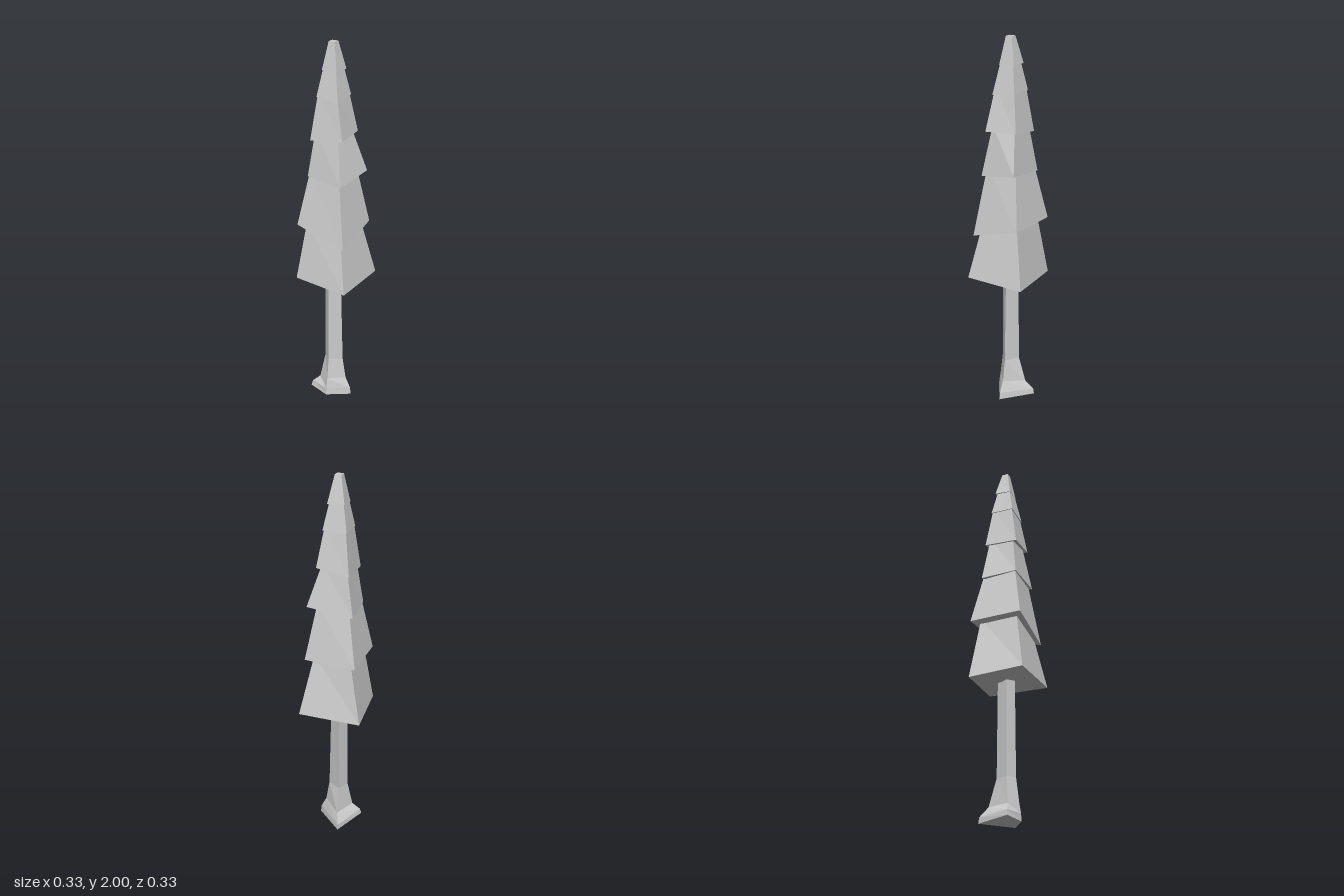
import * as THREE from 'three';

const material = new THREE.MeshStandardMaterial({ color: 0xcccccc, flatShading: true, side: THREE.DoubleSide });

// Closed four-sided loft through rings of [x, y, z] corners, listed bottom to top
function loft(name, rings) {
  const pos = [];
  const tri = (a, b, c) => pos.push(...a, ...b, ...c);
  for (let r = 0; r < rings.length - 1; r++) {
    for (let i = 0; i < 4; i++) {
      const j = (i + 1) % 4, low = rings[r], up = rings[r + 1];
      tri(low[i], up[i], up[j]);
      tri(low[i], up[j], low[j]);
    }
  }
  const base = rings[0], lid = rings[rings.length - 1];
  tri(base[0], base[1], base[2]);
  tri(base[0], base[2], base[3]);
  tri(lid[0], lid[2], lid[1]);
  tri(lid[0], lid[3], lid[2]);
  const geo = new THREE.BufferGeometry();
  geo.setAttribute('position', new THREE.Float32BufferAttribute(pos, 3));
  geo.computeVertexNormals();
  const mesh = new THREE.Mesh(geo, material);
  mesh.name = name;
  return mesh;
}

// Level square ring of half width h at height y
const square = (h, y) => [[-h, y, -h], [h, y, -h], [h, y, h], [-h, y, h]];

export function createModel() {
  const tree = new THREE.Group();
  tree.name = 'pineTree';

  // Trunk with flared foot; corners run back, right, front, left
  tree.add(loft('trunk', [
    [[-0.04, 0, -0.13], [0.115, 0, 0], [0, 0, 0.08], [-0.115, 0.01, 0.055]],
    [[-0.04, 0.03, -0.125], [0.11, 0.04, 0], [0, 0.04, 0.077], [-0.107, 0.04, 0.05]],
    [[-0.02, 0.08, -0.085], [0.08, 0.1, 0], [0, 0.1, 0.067], [-0.066, 0.08, 0.035]],
    [[-0.015, 0.22, -0.045], [0.06, 0.22, 0], [0, 0.22, 0.052], [-0.042, 0.22, 0.02]],
    [[-0.015, 0.78, -0.04], [0.045, 0.78, 0], [0, 0.78, 0.048], [-0.04, 0.78, 0.02]],
  ]));

  // Foliage tiers: crooked skirt corners (back left, back right, front right, front left), then lid
  const tiers = [
    [[[-0.165, 0.715, -0.135], [0.165, 0.73, -0.165], [0.165, 0.73, 0.163], [-0.14, 0.742, 0.147]], 0.1, 1.06],
    [[[-0.14, 1.04, -0.143], [0.143, 1.04, -0.127], [0.143, 0.97, 0.14], [-0.137, 1.05, 0.135]], 0.085, 1.35],
    [[[-0.11, 1.3, -0.095], [0.137, 1.33, -0.105], [0.107, 1.295, 0.108], [-0.095, 1.315, 0.095]], 0.065, 1.56],
    [[[-0.085, 1.515, -0.087], [0.09, 1.54, -0.087], [0.103, 1.53, 0.085], [-0.08, 1.51, 0.092]], 0.055, 1.75],
    [[[-0.062, 1.73, -0.062], [0.064, 1.73, -0.062], [0.066, 1.712, 0.066], [-0.06, 1.73, 0.062]], 0.033, 1.89],
    [[[-0.045, 1.865, -0.047], [0.045, 1.86, -0.047], [0.042, 1.86, 0.04], [-0.042, 1.86, 0.04]], 0.017, 2],
  ];
  tiers.forEach(([skirt, h, y], i) => tree.add(loft(`foliageTier${i + 1}`, [skirt, square(h, y)])));
  return tree;
}
